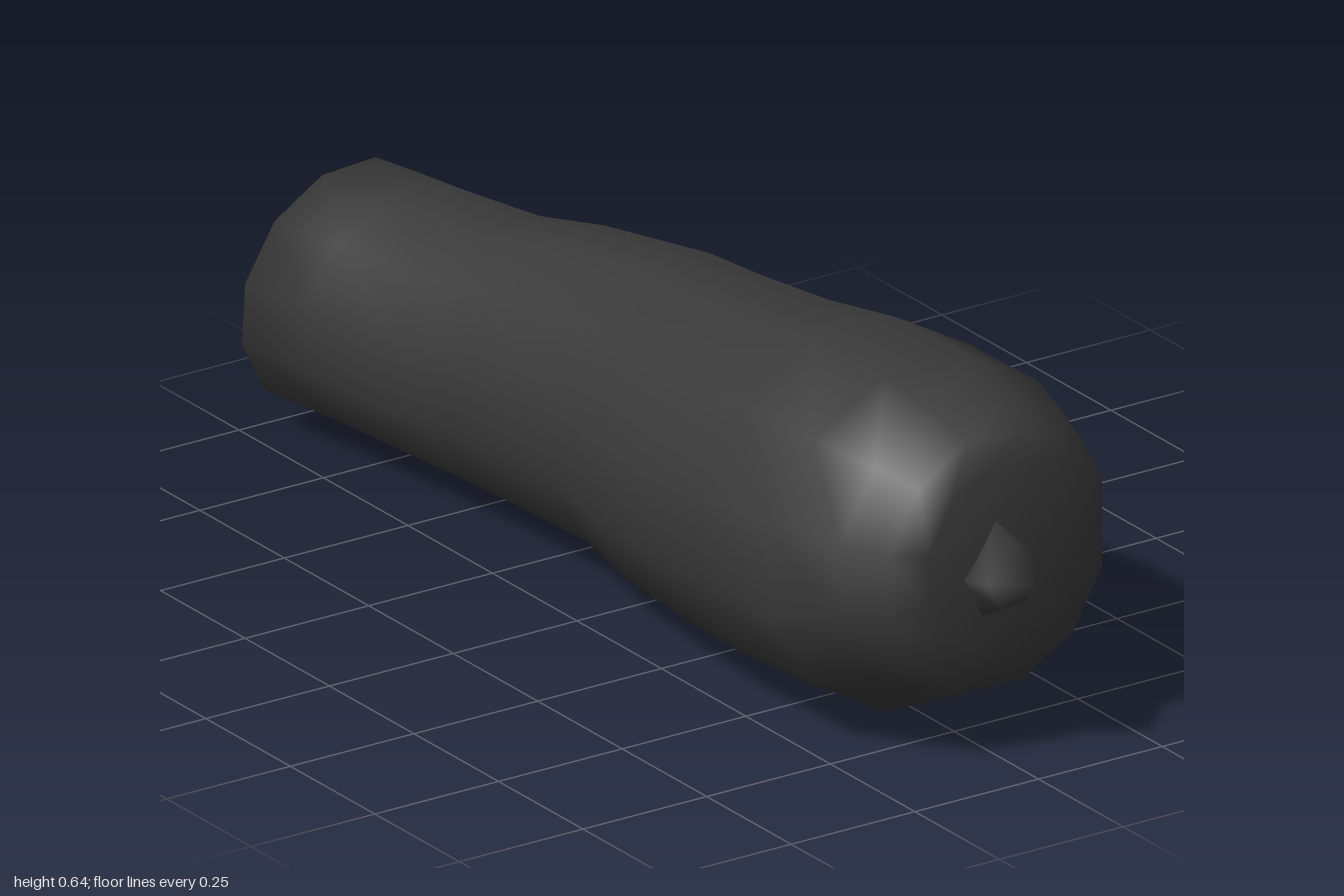
import * as THREE from 'three';

const material = new THREE.MeshStandardMaterial({ color: 0x3a3a3a, roughness: 0.9 });

// Skin a front-to-back list of point rings and close both ends with fans.
function loft(rings, frontCentre, backCentre) {
  const n = rings[0].length;
  const points = [...rings.flat(), frontCentre, backCentre];
  const front = points.length - 2, back = points.length - 1;
  const last = (rings.length - 1) * n;
  const index = [];
  for (let j = 0; j < n; j++) {
    const k = (j + 1) % n;
    for (let i = 0; i < rings.length - 1; i++) {
      const a = i * n + j, b = i * n + k;
      index.push(a, a + n, b, b, a + n, b + n);
    }
    index.push(front, j, k, back, last + k, last + j);
  }
  const geometry = new THREE.BufferGeometry().setFromPoints(points);
  geometry.setIndex(index);
  geometry.computeVertexNormals();
  return geometry;
}

// Twelve-sided ring fitted to the given extents; tilt slants it in z.
function ring([z, x0, x1, y0, y1], tiltX = 0, tiltY = 0) {
  const sides = 12, k = 1 / Math.cos(Math.PI / sides);
  return Array.from({ length: sides }, (_, j) => {
    const t = ((j + 0.5) / sides) * Math.PI * 2;
    const c = Math.cos(t) * k, s = Math.sin(t) * k;
    return new THREE.Vector3(
      (x0 + x1) / 2 + ((x1 - x0) / 2) * c,
      (y0 + y1) / 2 + ((y1 - y0) / 2) * s,
      Math.max(-1, z + tiltX * c + tiltY * s));
  });
}

export function createModel() {
  const group = new THREE.Group();

  // Curved, tapering body: z, x min, x max, y min, y max
  const sections = [
    [0.91, -0.16, 0.16, 0.20, 0.53],
    [0.88, -0.22, 0.21, 0.13, 0.58],
    [0.80, -0.265, 0.265, 0.09, 0.61],
    [0.68, -0.32, 0.30, 0.035, 0.64],
    [0.45, -0.31, 0.318, 0.01, 0.625],
    [0.25, -0.285, 0.305, 0.003, 0.587],
    [0.05, -0.255, 0.295, 0, 0.56],
    [-0.13, -0.21, 0.288, 0.003, 0.537],
    [-0.40, -0.22, 0.25, 0.01, 0.50],
    [-0.57, -0.23, 0.232, 0.012, 0.462],
    [-0.80, -0.25, 0.19, 0.015, 0.45],
  ];
  const rings = sections.map((s) => ring(s));
  // Slanted cut at the back end
  rings.push(ring([-0.975, -0.275, 0.16, 0.018, 0.447], -0.025, 0.018));
  const body = new THREE.Mesh(
    loft(rings, new THREE.Vector3(0, 0.36, 0.92), new THREE.Vector3(-0.055, 0.235, -0.98)), material);
  body.name = 'body';

  // Small pointed tip on the front end
  const outline = [[-0.10, 0.35], [-0.06, 0.27], [0.02, 0.28], [0.065, 0.36], [-0.03, 0.455]];
  const apex = new THREE.Vector3(-0.01, 0.35, 1);
  const base = outline.map(([x, y]) => new THREE.Vector3(x, y, 0.9));
  const middle = base.map((p) => p.clone().lerp(apex, 0.35).setZ(0.95));
  const tip = new THREE.Mesh(loft([middle, base], apex, new THREE.Vector3(-0.01, 0.35, 0.9)), material);
  tip.name = 'tip';

  group.add(body, tip);
  return group;
}
